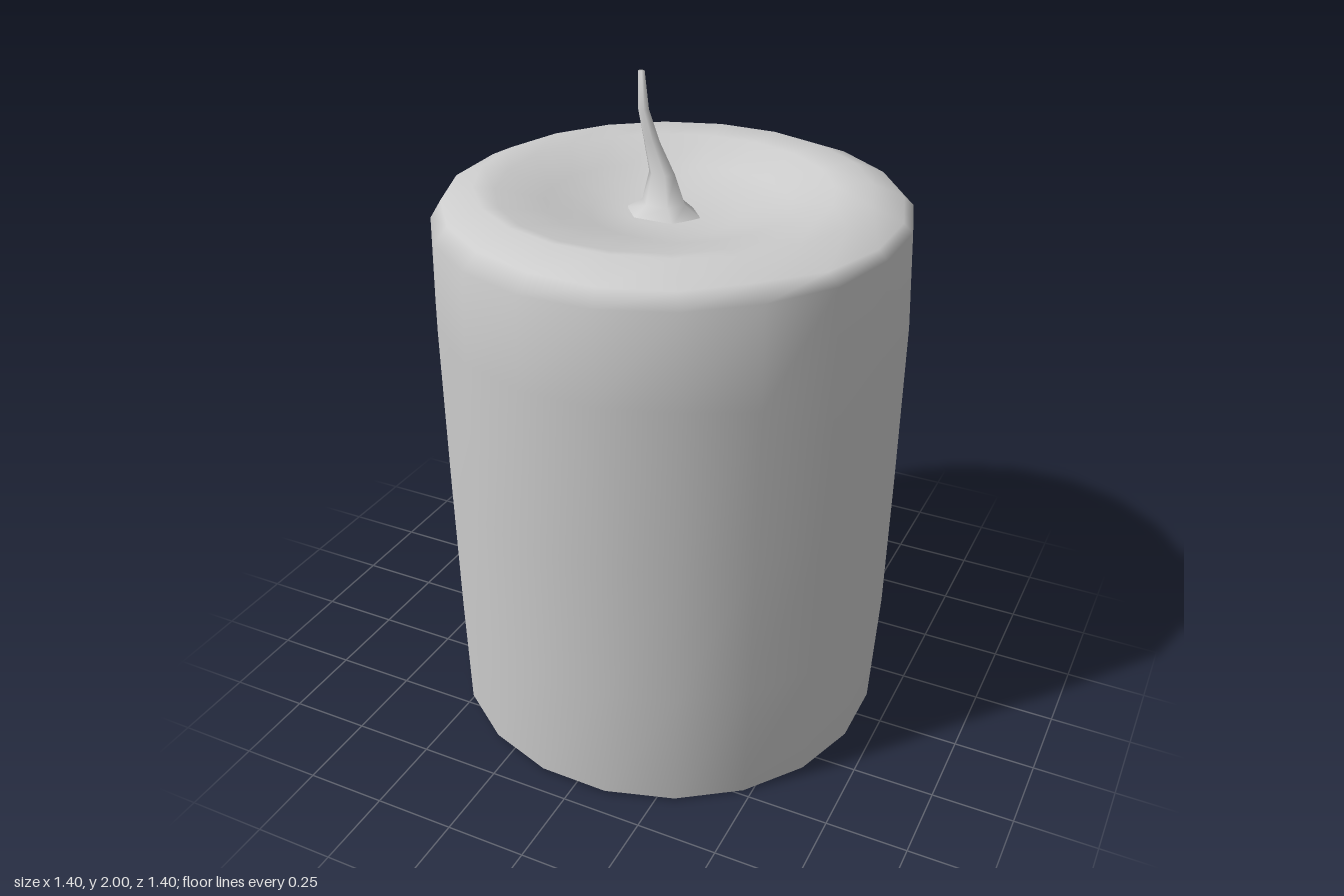
import * as THREE from 'three';

const material = new THREE.MeshStandardMaterial({ color: 0xcccccc, side: THREE.DoubleSide });

// Skin closed rings of points, bottom to top, with an optional end point
function loft(name, rings, tip) {
  const n = rings[0].length;
  const points = rings.flat();
  const index = [];
  for (let j = 0; j < rings.length - 1; j++) {
    for (let i = 0; i < n; i++) {
      const a = j * n + i, b = j * n + (i + 1) % n;
      index.push(a, a + n, b, b, a + n, b + n);
    }
  }
  if (tip) {
    const start = (rings.length - 1) * n;
    for (let i = 0; i < n; i++) index.push(start + i, points.length, start + (i + 1) % n);
    points.push(tip);
  }
  const geometry = new THREE.BufferGeometry().setFromPoints(points);
  geometry.setIndex(index);
  geometry.computeVertexNormals();
  const mesh = new THREE.Mesh(geometry, material);
  mesh.name = name;
  return mesh;
}

// Smooth bump around an angle
const bump = (a, centre, width) => {
  const d = Math.atan2(Math.sin(a - centre), Math.cos(a - centre)) / width;
  return Math.exp(-d * d);
};

// Wax shell: open at the bottom, rounded rim, sunken pool on top
function waxBody() {
  const sides = 20;
  // radius, height, centre x, centre z
  const profile = [
    [0.685, 0.015, -0.008, 0], [0.699, 0.4, 0, 0], [0.702, 0.85, 0, 0], [0.708, 1.36, 0, 0],
    [0.7, 1.635, 0, 0], [0.675, 1.675, 0, 0], [0.59, 1.713, -0.01, 0], [0.49, 1.705, -0.02, 0],
    [0.36, 1.66, -0.02, -0.02], [0.22, 1.615, -0.04, -0.04], [0.1, 1.605, -0.06, -0.05],
  ];
  const rings = profile.map(([r, y, cx, cz], j) => {
    const ring = [];
    for (let i = 0; i < sides; i++) {
      const a = (i + 0.5) / sides * Math.PI * 2;
      const drip = bump(a, 0.5, 0.2);
      let radius = r, height = y;
      if (j === 0) height -= 0.012 * Math.cos(a);             // uneven foot
      if (j === 3) height -= 0.17 * drip;                     // drip runs down the wall
      if (j === 3 || j === 4) radius += 0.012 * drip;
      if (j === 4) height += 0.015 * Math.cos(a);
      if (j === 5) radius -= 0.025 * Math.max(0, Math.sin(a)) + 0.03 * bump(a, 0.85, 0.2);
      if (j === 6) radius -= 0.06 * Math.max(0, Math.sin(a)); // softer slope at the front
      if (j > 1 && j < 6) radius += 0.004 * Math.sin(3 * a + j);
      if (j === 8) height += 0.015 * Math.sin(a);
      ring.push(new THREE.Vector3(cx + radius * Math.cos(a), height, cz + radius * Math.sin(a)));
    }
    return ring;
  });
  return loft('waxBody', rings, new THREE.Vector3(-0.06, 1.605, -0.05));
}

// Bent, tapering wick with a flared foot
function wick() {
  // centre x, y, z, half width in x, half width in z
  const sections = [
    [-0.05, 1.6, -0.05, 0.13, 0.09], [-0.055, 1.635, -0.06, 0.07, 0.055],
    [-0.065, 1.72, -0.07, 0.042, 0.03], [-0.1, 1.81, -0.075, 0.026, 0.022],
    [-0.13, 1.9, -0.082, 0.018, 0.017], [-0.153, 2, -0.116, 0.011, 0.01],
  ];
  const rings = sections.map(([x, y, z, wx, wz]) => Array.from({ length: 6 }, (_, i) => {
    const a = i / 6 * Math.PI * 2;
    return new THREE.Vector3(x + wx * Math.cos(a), y, z + wz * Math.sin(a));
  }));
  return loft('wick', rings, new THREE.Vector3(-0.153, 2, -0.116));
}

export function createModel() {
  const candle = new THREE.Group();
  candle.name = 'candle';
  candle.add(waxBody(), wick());
  return candle;
}
